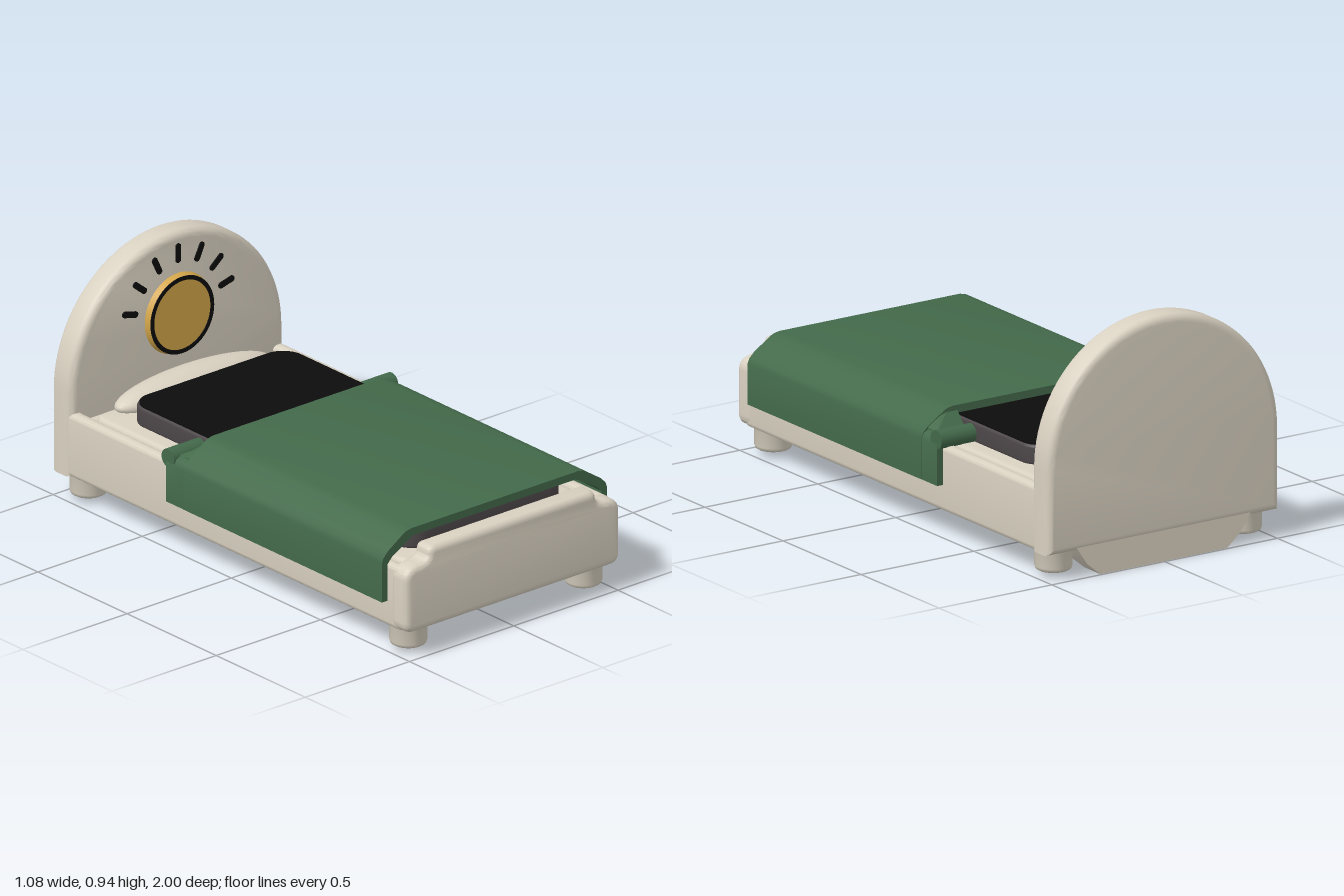
import * as THREE from 'three';
import { toCreasedNormals } from 'three/addons/utils/BufferGeometryUtils.js';
import { ConvexGeometry } from 'three/addons/geometries/ConvexGeometry.js';

const material = (name, color) => {
  const m = new THREE.MeshStandardMaterial({ color });
  m.name = name;
  return m;
};

// Rounded rectangle, optionally used as a hole
function roundRect(x0, y0, x1, y1, r, Type = THREE.Shape) {
  const s = new Type();
  s.moveTo(x0 + r, y0);
  s.lineTo(x1 - r, y0);
  s.absarc(x1 - r, y0 + r, r, -Math.PI / 2, 0);
  s.lineTo(x1, y1 - r);
  s.absarc(x1 - r, y1 - r, r, 0, Math.PI / 2);
  s.lineTo(x0 + r, y1);
  s.absarc(x0 + r, y1 - r, r, Math.PI / 2, Math.PI);
  s.lineTo(x0, y0 + r);
  s.absarc(x0 + r, y0 + r, r, Math.PI, Math.PI * 1.5);
  return s;
}

const polygon = (pts) => new THREE.Shape(pts.map(([x, y]) => new THREE.Vector2(x, y)));

// Extrude from z0 to z1, rounding the edges by b inside the outline
function extrudeZ(shape, z0, z1, b = 0) {
  const g = new THREE.ExtrudeGeometry(shape, {
    depth: z1 - z0 - 2 * b, bevelEnabled: b > 0, bevelThickness: b, bevelSize: b,
    bevelOffset: -b, bevelSegments: 5, curveSegments: 24,
  });
  g.translate(0, 0, z0 + b);
  return toCreasedNormals(g, 0.6);
}

// Extrude upwards; the shape is drawn in x and -z
const extrudeY = (shape, y0, y1, b) => extrudeZ(shape, y0, y1, b).rotateX(-Math.PI / 2);

export function createModel() {
  const group = new THREE.Group();
  group.name = 'bed';
  const cream = material('cream', 0xd8d0c0);
  const green = material('blanketGreen', 0x43694a);
  const gold = material('gold', 0xd4a64a);
  const black = material('black', 0x0c0c0c);
  const grey = material('darkGrey', 0x4c4648);

  const add = (name, geometry, mat) => {
    const mesh = new THREE.Mesh(geometry, mat);
    mesh.name = name;
    group.add(mesh);
    return mesh;
  };

  // Frame rails, slab and mattress
  const rails = roundRect(-0.51, -0.99, 0.51, 0.96, 0.06);
  rails.holes.push(roundRect(-0.46, -0.93, 0.46, 0.9, 0.03, THREE.Path));
  add('frameRails', extrudeY(rails, 0.105, 0.357, 0.02), cream);
  add('frameSlab', extrudeY(roundRect(-0.49, -0.97, 0.49, 0.94, 0.05), 0.106, 0.32), cream);
  add('mattress', extrudeY(roundRect(-0.45, -0.91, 0.45, 0.84, 0.05), 0.3, 0.355, 0.02), cream);

  // Footboard with stepped shoulders
  const foot = new THREE.Shape();
  foot.moveTo(-0.47, 0.105);
  foot.lineTo(0.47, 0.105);
  foot.quadraticCurveTo(0.515, 0.105, 0.515, 0.15);
  foot.lineTo(0.515, 0.31);
  foot.quadraticCurveTo(0.515, 0.365, 0.45, 0.368);
  foot.quadraticCurveTo(0.405, 0.37, 0.402, 0.395);
  foot.quadraticCurveTo(0.4, 0.424, 0.37, 0.424);
  foot.lineTo(-0.37, 0.424);
  foot.quadraticCurveTo(-0.4, 0.424, -0.402, 0.395);
  foot.quadraticCurveTo(-0.405, 0.37, -0.45, 0.368);
  foot.quadraticCurveTo(-0.515, 0.365, -0.515, 0.31);
  foot.lineTo(-0.515, 0.15);
  foot.quadraticCurveTo(-0.515, 0.105, -0.47, 0.105);
  add('footboard', extrudeZ(foot, 0.91, 1, 0.025), cream);

  // Arched headboard and its lower flap
  const head = new THREE.Shape();
  head.moveTo(-0.513, 0.105);
  head.lineTo(0.513, 0.105);
  head.lineTo(0.513, 0.427);
  head.absarc(0, 0.427, 0.513, 0, Math.PI);
  head.lineTo(-0.513, 0.105);
  add('headboard', extrudeZ(head, -1, -0.885, 0.03), cream);
  add('headboardFlap', extrudeZ(polygon([
    [-0.28, 0], [0.28, 0], [0.34, 0.05], [0.4, 0.14], [-0.4, 0.14], [-0.34, 0.05],
  ]), -0.995, -0.89), cream);

  // Legs
  const legProfile = [[0, 0.022], [0.058, 0.022], [0.066, 0.027], [0.07, 0.038], [0.07, 0.1], [0.078, 0.115]]
    .map(([r, y]) => new THREE.Vector2(r, y));
  const legGeometry = toCreasedNormals(new THREE.LatheGeometry(legProfile, 32), 0.7);
  for (const x of [-0.42, 0.42]) {
    for (const z of [-0.895, 0.9]) add('leg', legGeometry, cream).position.set(x, 0, z);
  }

  // Pillow
  const pillow = add('pillow', new THREE.SphereGeometry(1, 40, 24), cream);
  pillow.scale.set(0.368, 0.068, 0.1);
  pillow.position.set(0, 0.368, -0.8);

  // Tablet lying under the blanket
  add('tabletBody', extrudeY(roundRect(-0.382, -0.86, 0.382, 0.724, 0.09), 0.35, 0.429, 0.012), grey);
  add('tabletScreen', extrudeY(roundRect(-0.374, -0.85, 0.374, 0.717, 0.085), 0.426, 0.433), black);

  // Blanket: one cross-section running along the bed
  const outer = [[0.54, 0.21], [0.54, 0.365], [0.532, 0.385], [0.51, 0.407], [0.44, 0.453], [0.425, 0.461], [0.4, 0.466]];
  const inner = [[0.39, 0.436], [0.49, 0.38], [0.513, 0.355], [0.513, 0.21]];
  const mirrored = (pts) => pts.map(([x, y]) => [-x, y]).reverse();
  add('blanket', extrudeZ(polygon([
    ...outer, ...mirrored(outer), ...mirrored(inner), ...inner,
  ].reverse()), -0.22, 0.892), green);

  // Lowered side flaps with a rolled hem beside the tablet
  const flap = [[0.38, 0.35], [0.513, 0.35], [0.513, 0.21], [0.539, 0.21], [0.539, 0.365], [0.528, 0.385], [0.5, 0.4], [0.38, 0.4]];
  for (const side of [-1, 1]) {
    const shape = polygon(side > 0 ? flap : mirrored(flap));
    add('blanketFlap', extrudeZ(shape, -0.322, -0.2), green);
    const slope = [
      [0.38, 0.465, -0.2], [0.4, 0.465, -0.2], [0.44, 0.453, -0.2], [0.51, 0.406, -0.2],
      [0.38, 0.38, -0.2], [0.51, 0.38, -0.2], [0.38, 0.395, -0.275], [0.505, 0.395, -0.275],
    ].map(([x, y, z]) => new THREE.Vector3(x * side, y, z));
    add('blanketSlope', new ConvexGeometry(slope), green);
    const hem = add('blanketHem', new THREE.CylinderGeometry(0.036, 0.036, 0.16, 24), green);
    hem.rotation.z = Math.PI / 2;
    hem.position.set(side * 0.457, 0.384, -0.312);
  }

  // Sun emblem: disc, ring and rays
  const disc = add('sunDisc', new THREE.CylinderGeometry(0.152, 0.16, 0.03, 64), gold);
  disc.rotation.x = Math.PI / 2;
  disc.position.set(0, 0.62, -0.876);
  const ring = new THREE.Shape();
  ring.absarc(0, 0, 0.152, 0, Math.PI * 2);
  ring.holes.push(new THREE.Path().absarc(0, 0, 0.136, 0, Math.PI * 2));
  add('sunRing', extrudeZ(ring, -0.863, -0.858), black).position.y = 0.62;
  const rayGeometry = extrudeZ(roundRect(-0.012, 0.2, 0.012, 0.276, 0.0115), -0.887, -0.88);
  for (let i = -3; i <= 3; i++) {
    const ray = add('sunRay', rayGeometry, black);
    ray.position.y = 0.62;
    ray.rotation.z = THREE.MathUtils.degToRad(i * 25.3);
  }
  return group;
}
